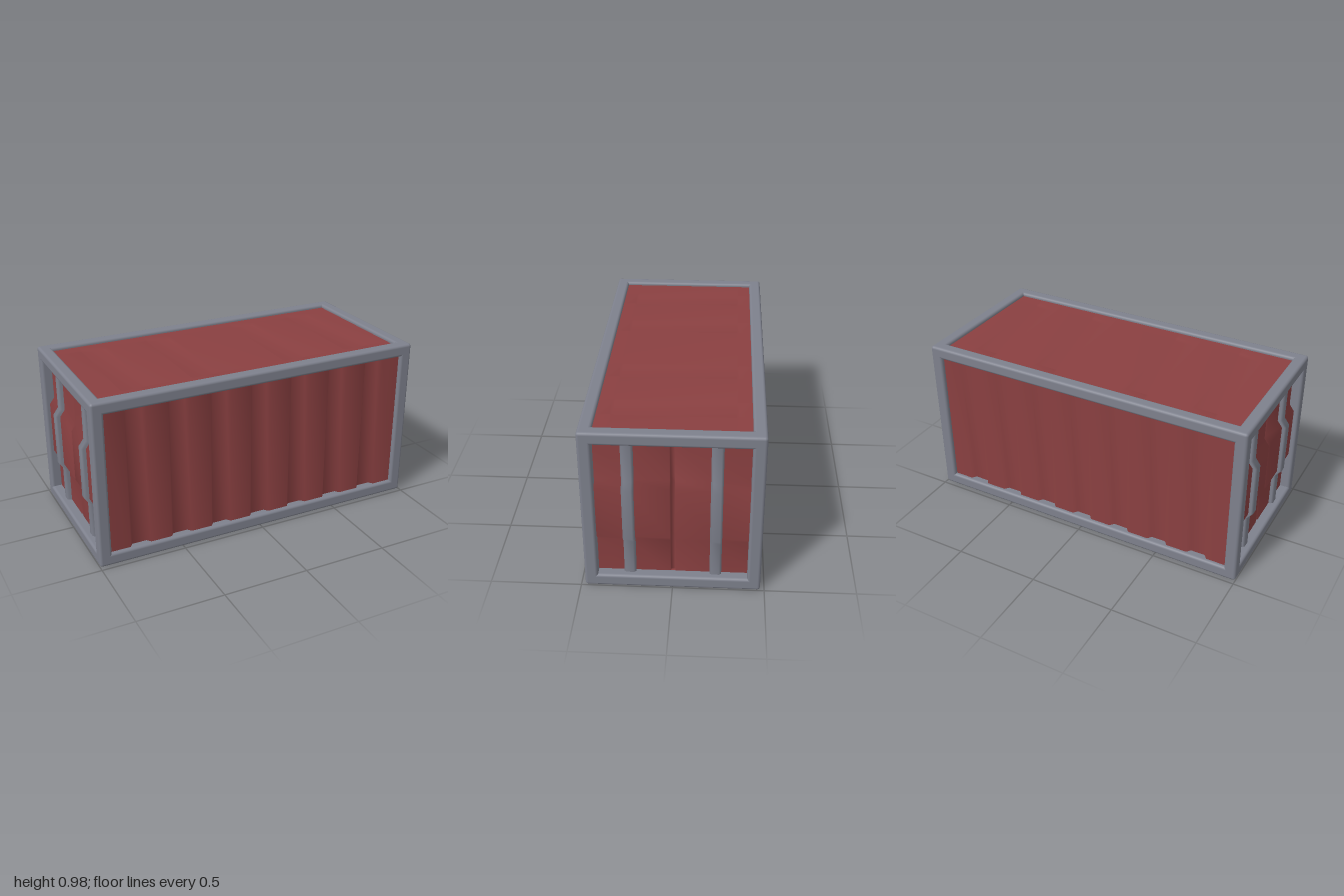
import * as THREE from 'three';
import { RoundedBoxGeometry } from 'three/addons/geometries/RoundedBoxGeometry.js';

const W = 2, H = 0.98, D = 0.955, B = 0.072; // overall size and beam thickness

// Sheet facing +z: grid over us x vs, pushed out by depth(u, v)
function sheet(us, vs, depth) {
  const pos = [], index = [], n = us.length;
  for (const v of vs) for (const u of us) pos.push(u, v, depth(u, v));
  for (let j = 0; j < vs.length - 1; j++) {
    for (let i = 0; i < n - 1; i++) {
      const a = j * n + i;
      index.push(a, a + 1, a + n, a + 1, a + n + 1, a + n);
    }
  }
  const g = new THREE.BufferGeometry();
  g.setAttribute('position', new THREE.Float32BufferAttribute(pos, 3));
  g.setIndex(index);
  g.computeVertexNormals();
  return g;
}

export function createModel() {
  const model = new THREE.Group();
  const steel = new THREE.MeshStandardMaterial({ color: 0x7e818d });
  steel.name = 'grey steel';
  const red = new THREE.MeshStandardMaterial({ color: 0x8a4041, side: THREE.DoubleSide });
  red.name = 'red paint';
  steel.side = THREE.DoubleSide;

  const add = (parent, name, geometry, material) => {
    const m = new THREE.Mesh(geometry, material);
    m.name = name;
    parent.add(m);
    return m;
  };

  // Frame: twelve rounded beams
  const frame = new THREE.Group();
  frame.name = 'frame';
  model.add(frame);
  const beam = (name, w, h, d, x, y, z) =>
    add(frame, name, new RoundedBoxGeometry(w, h, d, 2, 0.016), steel).position.set(x, y, z);
  const ex = (W - B) / 2, ez = (D - B) / 2, ys = [B / 2, H - B / 2];
  for (const a of [-1, 1]) {
    for (const y of ys) {
      beam('longRail', W, B, B, 0, y, a * ez);
      beam('endRail', B, B, D, a * ex, y, 0);
    }
    for (const b of [-1, 1]) beam('cornerPost', B, H, B, a * ex, H / 2, b * ez);
  }

  // Long walls: seven vertical grooves
  const wallUs = [-0.95];
  for (let i = -3; i <= 3; i++) {
    for (const o of [-0.062, -0.042, 0.042, 0.062]) wallUs.push(i * 0.25 + o);
  }
  wallUs.push(0.95);
  const wallDepth = (u) => {
    const i = Math.max(-3, Math.min(3, Math.round(u / 0.25)));
    return Math.abs(u - i * 0.25) < 0.05 ? -0.025 : 0;
  };
  const wall = sheet(wallUs, [0.05, 0.93], wallDepth);
  for (const s of [1, -1]) {
    const m = add(model, s > 0 ? 'frontWall' : 'backWall', wall, red);
    m.position.z = s * 0.455;
    if (s < 0) m.rotation.y = Math.PI;
  }

  // Roof and floor: four shallow pressed channels
  const channels = [-0.7, -0.29, 0.29, 0.7];
  const roofUs = [-0.95, ...channels.flatMap((c) => [c - 0.08, c - 0.068, c + 0.068, c + 0.08]), 0.95];
  const roofDepth = (u, v) =>
    channels.some((c) => Math.abs(u - c) < 0.074) && Math.abs(v) < 0.33 ? -0.01 : 0;
  const roof = sheet(roofUs, [-0.425, -0.335, -0.32, 0.32, 0.335, 0.425], roofDepth);
  const top = add(model, 'roof', roof, red);
  top.rotation.x = -Math.PI / 2;
  top.position.y = H - 0.02;
  const floor = add(model, 'floor', roof, red);
  floor.rotation.x = Math.PI / 2;
  floor.position.y = 0.02;

  // Door ends: stepped doors with a centre seam and two locking bars
  const doorVs = [0.05, 0.28, 0.32, 0.63, 0.67, 0.93];
  const step = (v) => (v > 0.3 && v < 0.65 ? 0.03 : 0);
  const door = sheet([-0.425, -0.23, -0.014, -0.011, 0.011, 0.014, 0.23, 0.425], doorVs,
    (u, v) => (Math.abs(u) < 0.012 ? -0.04 : step(v)));
  const bar = sheet([-0.033, -0.032, -0.02, 0.02, 0.032, 0.033], doorVs,
    (u, v) => (Math.abs(u) > 0.0325 ? -0.03 : Math.abs(u) > 0.03 ? 0.015 : 0.025) + step(v));
  for (const s of [1, -1]) {
    const end = new THREE.Group();
    end.name = s > 0 ? 'leftDoorEnd' : 'rightDoorEnd';
    end.position.x = s * 0.94;
    end.rotation.y = s * Math.PI / 2;
    model.add(end);
    add(end, 'doors', door, red);
    for (const b of [-1, 1]) add(end, 'lockingBar', bar, steel).position.x = b * 0.232;
  }
  return model;
}
